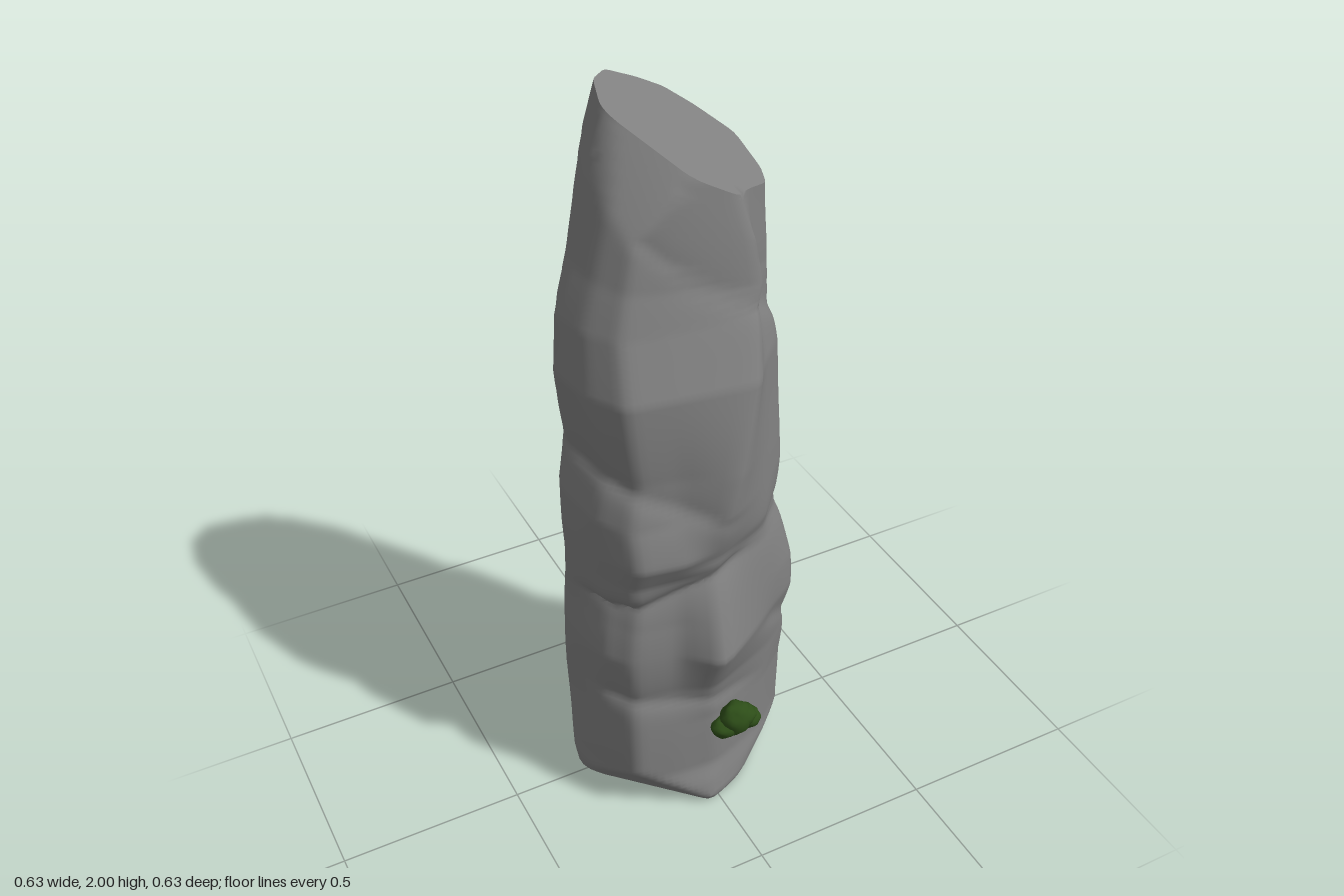
import * as THREE from 'three';
import { toCreasedNormals, mergeVertices } from 'three/addons/utils/BufferGeometryUtils.js';

// Height, left-hand x, right-hand x, back z, front z, x of the front ridge, squareness of the front
const LEVELS = [
  [0.00, -0.280, 0.285, -0.265, 0.264, -0.02, 0.95],
  [0.02, -0.300, 0.294, -0.272, 0.278, -0.02, 0.95],
  [0.07, -0.308, 0.300, -0.278, 0.266, -0.02, 0.95],
  [0.12, -0.308, 0.302, -0.285, 0.244, 0.00, 0.97],
  [0.30, -0.310, 0.304, -0.320, 0.244, 0.00, 0.95],
  [0.42, -0.312, 0.318, -0.305, 0.264, -0.02, 0.86],
  [0.56, -0.314, 0.322, -0.286, 0.328, -0.025, 0.72],
  [0.66, -0.306, 0.318, -0.278, 0.300, -0.02, 0.78],
  [0.81, -0.308, 0.285, -0.258, 0.258, -0.01, 0.92],
  [0.89, -0.312, 0.268, -0.284, 0.268, 0.00, 1.03],
  [1.00, -0.313, 0.263, -0.290, 0.301, 0.00, 0.82],
  [1.12, -0.290, 0.257, -0.290, 0.294, 0.03, 0.80],
  [1.35, -0.318, 0.246, -0.262, 0.259, 0.09, 0.90],
  [1.50, -0.305, 0.233, -0.250, 0.197, 0.12, 0.92],
  [1.62, -0.266, 0.226, -0.242, 0.177, 0.14, 0.90],
  [1.83, -0.216, 0.222, -0.230, 0.160, 0.12, 0.92],
  [2.00, -0.172, 0.219, -0.200, 0.145, 0.08, 0.95],
];

// Cracks: plane height, x slope, z slope, facing x, facing z, depth, fade (positive fades upward)
const CRACKS = [
  [1.36, 0, 0.93, 1, 0, 0.07, 0.10],
  [0.36, 0, 0.9, 1, 0, 0.06, 0.06],
  [0.87, 0, 0.05, 1, 0, 0.03, -0.06],
  [0.86, -0.1, 0, 0.6, 0.8, 0.04, 0.05],
  [0.80, 0.3, 0, -0.5, 0.86, 0.11, -0.07],
  [0.98, -0.5, 0, -0.7, 0.7, 0.06, 0.07],
  [0.36, -0.2, 0, -0.3, 0.95, 0.06, 0.07],
  [0.88, 0.7, -0.7, -0.3, -0.95, 0.05, 0.08],
  [1.62, -0.9, 0, -0.2, 0.98, 0.05, 0.06],
];

// Flat chips: outward x, outward z, distance from the axis at y = 0, growth of that distance per unit y
const CHIPS = [
  [-0.71, -0.71, 0.325, -0.06],
  [0.71, 0.71, 0.22, 0.4],
  [0.71, -0.71, 0.26, 0.25],
  [-0.71, 0.71, 0.21, 0.7],
  [-0.71, 0.71, 0.92, -0.4],
  [-0.93, 0.37, 0.81, -0.33],
];

// Slanted summit plane
const summit = (x, z) => 2.01 - 0.55 * (x + 0.145) - 0.35 * (z + 0.15);

function levelAt(y) {
  let i = 0;
  while (i < LEVELS.length - 2 && y > LEVELS[i + 1][0]) i++;
  const [p, q] = [LEVELS[i], LEVELS[i + 1]];
  const t = (y - p[0]) / (q[0] - p[0]);
  return p.map((v, k) => v + (q[k] - v) * t);
}

// Faceted cross-section, running from the front ridge round by +x
function section(y) {
  const [, left, b, back, f, ridge, sq] = levelAt(y);
  const a = -left, k = -back;
  const side = 0.58 + (sq - 0.7) * 0.5;
  const corners = [
    [ridge, f], [0.6 * b, side * f], [0.92 * b, 0.38 * f], [b, 0],
    [0.97 * b, -0.56 * k], [0.62 * b, -0.85 * k], [0.32 * b, -k], [0, -0.98 * k],
    [-0.5 * a, -0.89 * k], [-0.82 * a, -0.6 * k], [-a, -0.02],
    [-0.93 * a, 0.45 * f], [-0.75 * a, 0.88 * sq * f + 0.01], [-0.36 * a, sq * f],
  ];
  const ring = [];
  corners.forEach(([x, z], i) => {
    const [nx, nz] = corners[(i + 1) % corners.length];
    for (let j = 0; j < 6; j++) ring.push([x + (nx - x) * j / 6, z + (nz - z) * j / 6]);
  });
  const carved = ring.map(([x, z]) => {
    let s = 1 + 0.006 * Math.sin(11 * y + 9 * x) * Math.sin(13 * z - 7 * y);
    const r = Math.hypot(x, z);
    for (const [y0, sx, sz, dx, dz, depth, fade] of CRACKS) {
      const facing = THREE.MathUtils.smoothstep((x * dx + z * dz) / r, 0.45, 0.85);
      const h = (y - y0 - sx * x - sz * z) * Math.sign(fade);
      s -= depth * facing * (h > 0 ? Math.exp(-h / Math.abs(fade)) : Math.exp(h / 0.025));
    }
    for (const [nx, nz, d, grow] of CHIPS) {
      const reach = x * nx + z * nz;
      if (reach > 0) s = Math.min(s, (d + grow * y) / reach);
    }
    return [x * s, z * s];
  });
  // Soften the vertical edges
  const n = carved.length;
  return carved.map((p, i) => p.map((v, c) =>
    (carved[(i + n - 1) % n][c] + 2 * v + carved[(i + 1) % n][c]) / 4));
}

function rockGeometry() {
  const rows = [];
  const base = section(0), crown = section(2);
  for (const s of [0.001, 0.5]) rows.push(base.map(([x, z]) => [x * s, 0, z * s]));
  const steps = 160;
  for (let i = 0; i <= steps; i++) {
    const y = 2 * i / steps;
    rows.push(section(y).map(([x, z]) =>
      [x, y < 1.5 ? y : 1.5 + (y - 1.5) * 2 * (summit(x, z) - 1.5), z]));
  }
  for (const s of [0.85, 0.7, 0.5, 0.3, 0.15, 0.001]) {
    rows.push(crown.map(([x, z]) => [x * s, summit(x * s, z * s), z * s]));
  }
  const n = base.length, index = [];
  for (let r = 0; r < rows.length - 1; r++) {
    for (let c = 0; c < n; c++) {
      const d = (c + 1) % n, p = r * n, q = p + n;
      index.push(p + c, p + d, q + d, p + c, q + d, q + c);
    }
  }
  const geo = new THREE.BufferGeometry();
  geo.setAttribute('position', new THREE.Float32BufferAttribute(rows.flat(2), 3));
  geo.setIndex(index);
  return toCreasedNormals(geo, 0.85);
}

// Lumpy ball for the moss
function tuftGeometry() {
  let geo = new THREE.IcosahedronGeometry(1, 4);
  geo.deleteAttribute('normal');
  geo.deleteAttribute('uv');
  geo = mergeVertices(geo);
  const pos = geo.attributes.position, v = new THREE.Vector3();
  for (let i = 0; i < pos.count; i++) {
    v.fromBufferAttribute(pos, i);
    v.multiplyScalar(1 + 0.1 * Math.sin(5 * v.x + 1) * Math.sin(6 * v.y) * Math.cos(5 * v.z));
    pos.setXYZ(i, v.x, v.y, v.z);
  }
  geo.computeVertexNormals();
  return geo;
}

export function createModel() {
  const stone = new THREE.MeshStandardMaterial({ color: 0x808080 });
  stone.name = 'grey stone';
  const green = new THREE.MeshStandardMaterial({ color: 0x2d4d18 });
  green.name = 'moss green';

  const model = new THREE.Group();
  model.name = 'standingStone';
  const pillar = new THREE.Mesh(rockGeometry(), stone);
  pillar.name = 'rockPillar';
  model.add(pillar);

  // Moss clump on the front: centre and radii of each tuft
  const moss = new THREE.Group();
  moss.name = 'mossClump';
  const tuft = tuftGeometry();
  [
    [0.047, 0.285, 0.262, 0.046, 0.050, 0.040],
    [0.090, 0.264, 0.255, 0.032, 0.028, 0.034],
    [0.017, 0.264, 0.258, 0.042, 0.030, 0.034],
    [0.065, 0.290, 0.262, 0.038, 0.030, 0.036],
  ].forEach(([x, y, z, rx, ry, rz]) => {
    const mesh = new THREE.Mesh(tuft, green);
    mesh.name = 'mossTuft';
    mesh.position.set(x, y, z);
    mesh.scale.set(rx, ry, rz);
    moss.add(mesh);
  });
  model.add(moss);
  return model;
}
